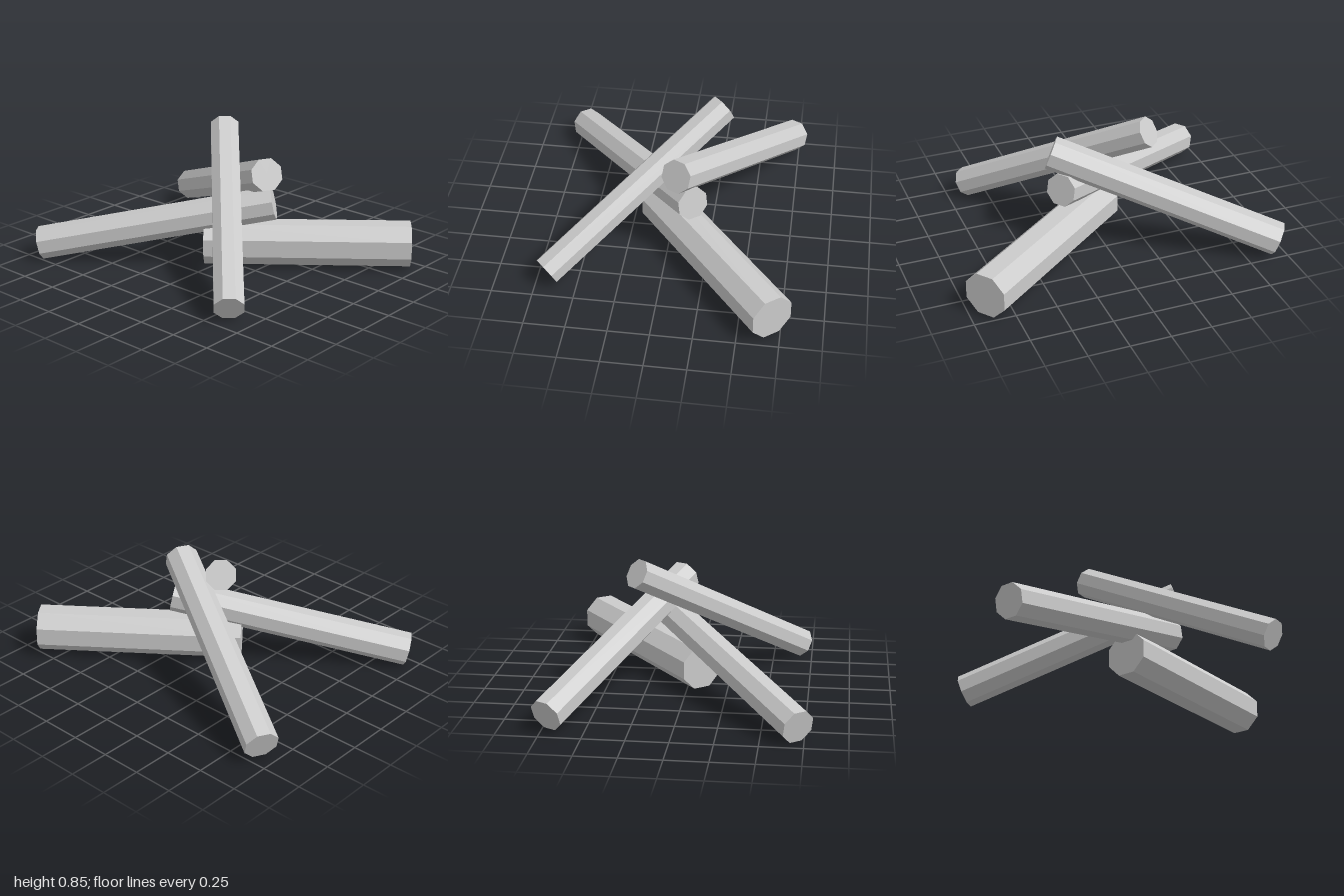
import * as THREE from 'three';

const material = new THREE.MeshStandardMaterial({ color: 0xcccccc, flatShading: true });

// Octagonal log between two end centres, with a flat facet facing up
function makeLog(name, start, end, radius) {
  const a = new THREE.Vector3(...start);
  const b = new THREE.Vector3(...end);
  const axis = b.clone().sub(a);
  const geometry = new THREE.CylinderGeometry(radius, radius, axis.length(), 8);
  geometry.rotateY(Math.PI / 8);

  axis.normalize();
  const side = new THREE.Vector3().crossVectors(axis, new THREE.Vector3(0, 1, 0)).normalize();
  const facing = new THREE.Vector3().crossVectors(side, axis);
  const log = new THREE.Mesh(geometry, material);
  log.name = name;
  log.quaternion.setFromRotationMatrix(new THREE.Matrix4().makeBasis(side, axis, facing));
  log.position.copy(a).add(b).multiplyScalar(0.5);
  return log;
}

export function createModel() {
  const group = new THREE.Group();
  group.name = 'logPile';

  group.add(
    // Thick log lying on the ground
    makeLog('groundLog', [-0.09, 0.148, 0.09], [0.915, 0.158, -0.7], 0.142),
    // Three thinner logs leaning across it, lowest first
    makeLog('lowerLeaningLog', [-0.92, 0.105, 0.715], [0.26, 0.415, -0.16], 0.104),
    makeLog('middleLeaningLog', [-0.945, 0.12, -0.71], [0.285, 0.63, -0.06], 0.104),
    makeLog('upperLeaningLog', [0.63, 0.1, 0.68], [-0.255, 0.78, -0.285], 0.094),
  );
  return group;
}
